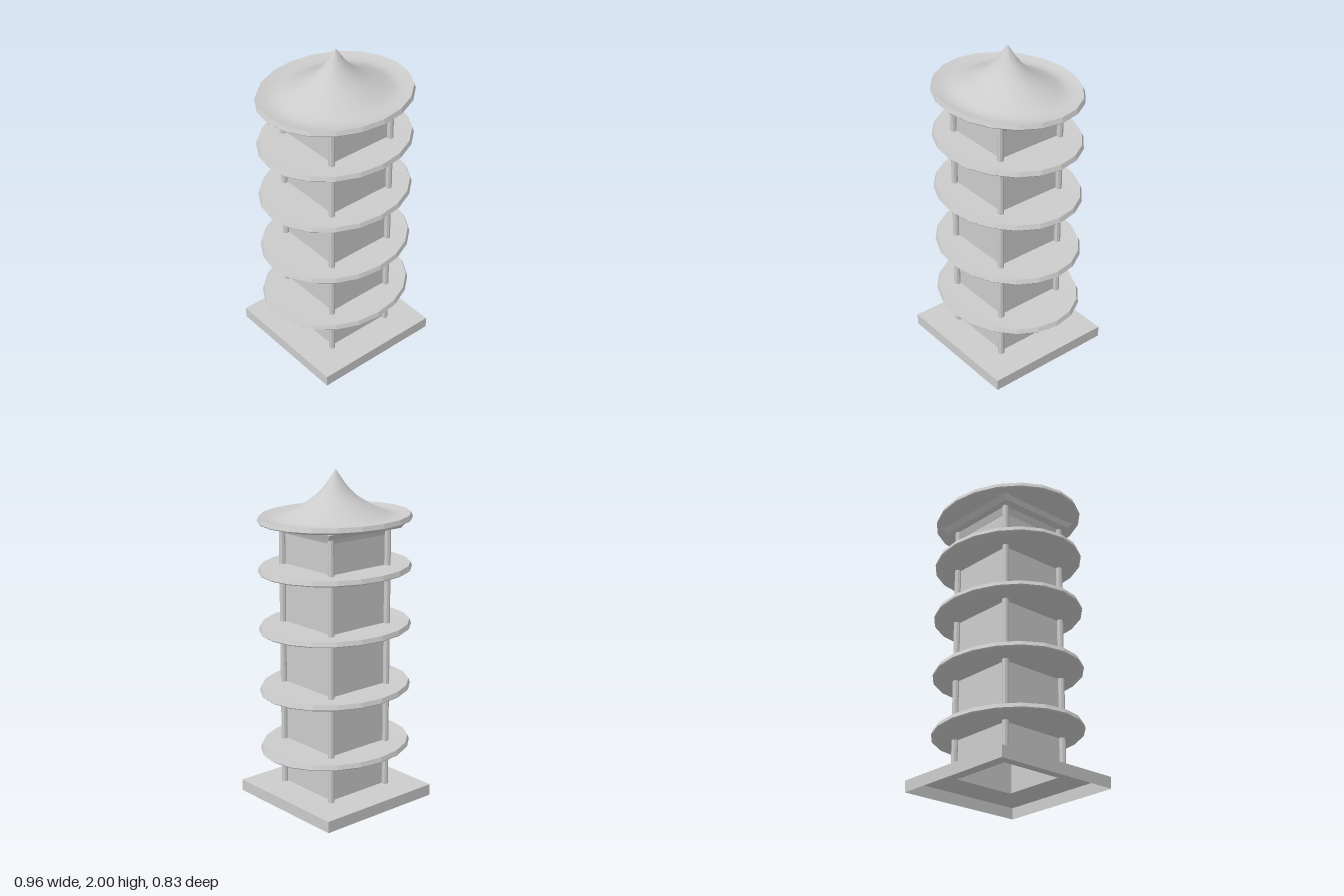
import * as THREE from 'three';
import { toCreasedNormals } from 'three/addons/utils/BufferGeometryUtils.js';

const grey = new THREE.MeshStandardMaterial({ color: 0xcccccc });
const greyOpen = new THREE.MeshStandardMaterial({ color: 0xcccccc, side: THREE.DoubleSide });

const DEPTH = 0.413 / 0.478; // eaves are oval: shallower than wide
const ZC = 0.007; // shaft centre in z
const HALF = 0.217; // column spacing from the shaft centre
const BASE_TOP = 0.07, SHAFT_TOP = 1.665;

export function createModel() {
  const group = new THREE.Group();

  function add(name, geometry, x = 0, y = 0, z = 0, material = grey) {
    const mesh = new THREE.Mesh(geometry, material);
    mesh.name = name;
    mesh.position.set(x, y, z);
    group.add(mesh);
    return mesh;
  }

  // Oval 20-sided solid from a [radius, height] profile
  function oval(profile, crease) {
    const g = new THREE.LatheGeometry(profile.map(([r, y]) => new THREE.Vector2(r, y)), 20);
    g.scale(1, 1, DEPTH);
    return toCreasedNormals(g, crease);
  }

  // Square block whose top and bottom differ in size
  function taperedBlock(bottomX, bottomZ, topX, topZ, height) {
    const g = new THREE.BoxGeometry(2, height, 2);
    const p = g.attributes.position;
    for (let i = 0; i < p.count; i++) {
      const top = p.getY(i) > 0;
      p.setX(i, p.getX(i) * (top ? topX : bottomX));
      p.setZ(i, p.getZ(i) * (top ? topZ : bottomZ));
    }
    return toCreasedNormals(g, 0.1);
  }

  // Base: thin skirt, open underneath, with a top plate cut out for the shaft
  const plate = new THREE.Shape();
  plate.moveTo(-0.41, -0.407).lineTo(0.41, -0.407).lineTo(0.41, 0.407).lineTo(-0.41, 0.407).closePath();
  const opening = new THREE.Path();
  opening.moveTo(-0.2, -0.2).lineTo(-0.2, 0.2).lineTo(0.2, 0.2).lineTo(0.2, -0.2).closePath();
  plate.holes.push(opening);
  add('basePlate', new THREE.ShapeGeometry(plate).rotateX(-Math.PI / 2), 0, BASE_TOP, 0, greyOpen);
  for (const s of [-1, 1]) {
    add('baseSkirt', new THREE.PlaneGeometry(0.82, BASE_TOP), 0, BASE_TOP / 2, s * 0.407, greyOpen);
    add('baseSkirt', new THREE.PlaneGeometry(0.814, BASE_TOP).rotateY(Math.PI / 2), s * 0.41, BASE_TOP / 2, 0, greyOpen);
  }

  // Shaft walls and corner columns
  const height = SHAFT_TOP - BASE_TOP, midY = BASE_TOP + height / 2;
  const wall = new THREE.PlaneGeometry(2 * HALF, height);
  const column = toCreasedNormals(new THREE.CylinderGeometry(0.019, 0.019, height, 8), 0.1);
  for (let i = 0; i < 4; i++) {
    const a = i * Math.PI / 2;
    add('wall', wall, Math.sin(a) * 0.205, midY, ZC + Math.cos(a) * 0.205, greyOpen).rotation.y = a;
    const x = i < 2 ? 1 : -1, z = i % 2 ? 1 : -1;
    add('column', column, x * HALF, midY, ZC + z * HALF);
  }

  // Four oval eaves around the shaft
  const eave = oval([[0, 0], [0.4, 0], [0.472, 0.018], [0.478, 0.024], [0.467, 0.05],
    [0.38, 0.046], [0, 0.05]], 0.2);
  for (const y of [0.305, 0.67, 1.045, 1.395]) add('eave', eave, 0, y, 0);

  // Flared bracket and slab carrying the roof
  add('bracket', taperedBlock(0.207, 0.207, 0.225, 0.225, 0.045), 0, 1.643, ZC);
  add('roofSlab', taperedBlock(0.278, 0.25, 0.293, 0.28, 0.035), 0, 1.6775, -0.007);

  // Roof: dished rim sweeping up to a pointed peak
  add('roofRim', oval([[0, 0], [0.4, 0], [0.472, 0.018], [0.478, 0.024], [0.467, 0.05]], 0.2), 0, 1.69, 0);
  add('roofPeak', oval([[0.467, 1.74], [0.42, 1.73], [0.38, 1.727], [0.34, 1.735], [0.3, 1.752],
    [0.24, 1.779], [0.18, 1.812], [0.13, 1.845], [0.09, 1.882], [0.06, 1.915],
    [0.035, 1.95], [0.015, 1.98], [0, 2]], 0.6));

  return group;
}
